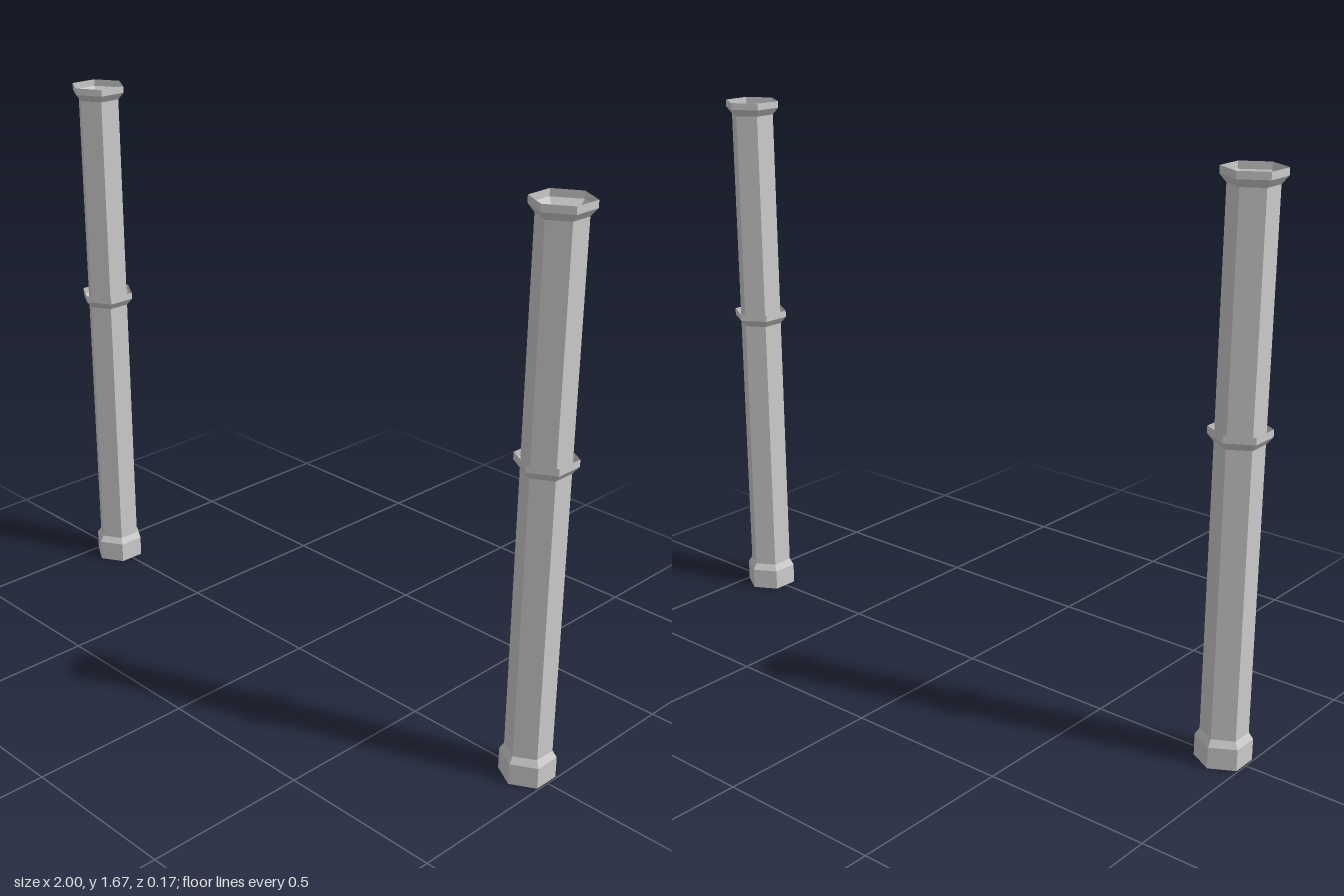
import * as THREE from 'three';

const material = new THREE.MeshStandardMaterial({
  color: 0xcccccc, flatShading: true, side: THREE.DoubleSide,
});

const SHAFT = 0.068; // corner radius of the hexagonal shaft
const COLLAR = 0.0866;
const BASE = 0.081;

// Open six-sided tube turned from [radius, height] pairs, corners on +z and -z
function hexTube(name, profile) {
  const points = profile.map(([r, y]) => new THREE.Vector2(r, y));
  const mesh = new THREE.Mesh(new THREE.LatheGeometry(points, 6), material);
  mesh.name = name;
  return mesh;
}

// Flared socket with a short upright lip, ending at the given height
const flare = (top) => [[SHAFT, top - 0.043], [COLLAR, top - 0.021], [COLLAR, top]];

function createPost(name) {
  const post = new THREE.Group();
  post.name = name;
  post.add(
    hexTube('baseFoot', [[BASE, 0], [BASE, 0.065], [SHAFT, 0.085]]),
    hexTube('lowerShaft', [[SHAFT, 0.085], [SHAFT, 0.935]]),
    hexTube('middleCollar', flare(0.978)),
    hexTube('upperShaft', [[SHAFT, 0.935], [SHAFT, 1.623]]),
    hexTube('topCollar', flare(1.666)),
  );
  return post;
}

export function createModel() {
  const model = new THREE.Group();
  model.name = 'hexagonalPosts';
  for (const [name, side] of [['leftPost', 1], ['rightPost', -1]]) {
    const post = createPost(name);
    post.position.x = side * 0.925;
    model.add(post);
  }
  return model;
}
